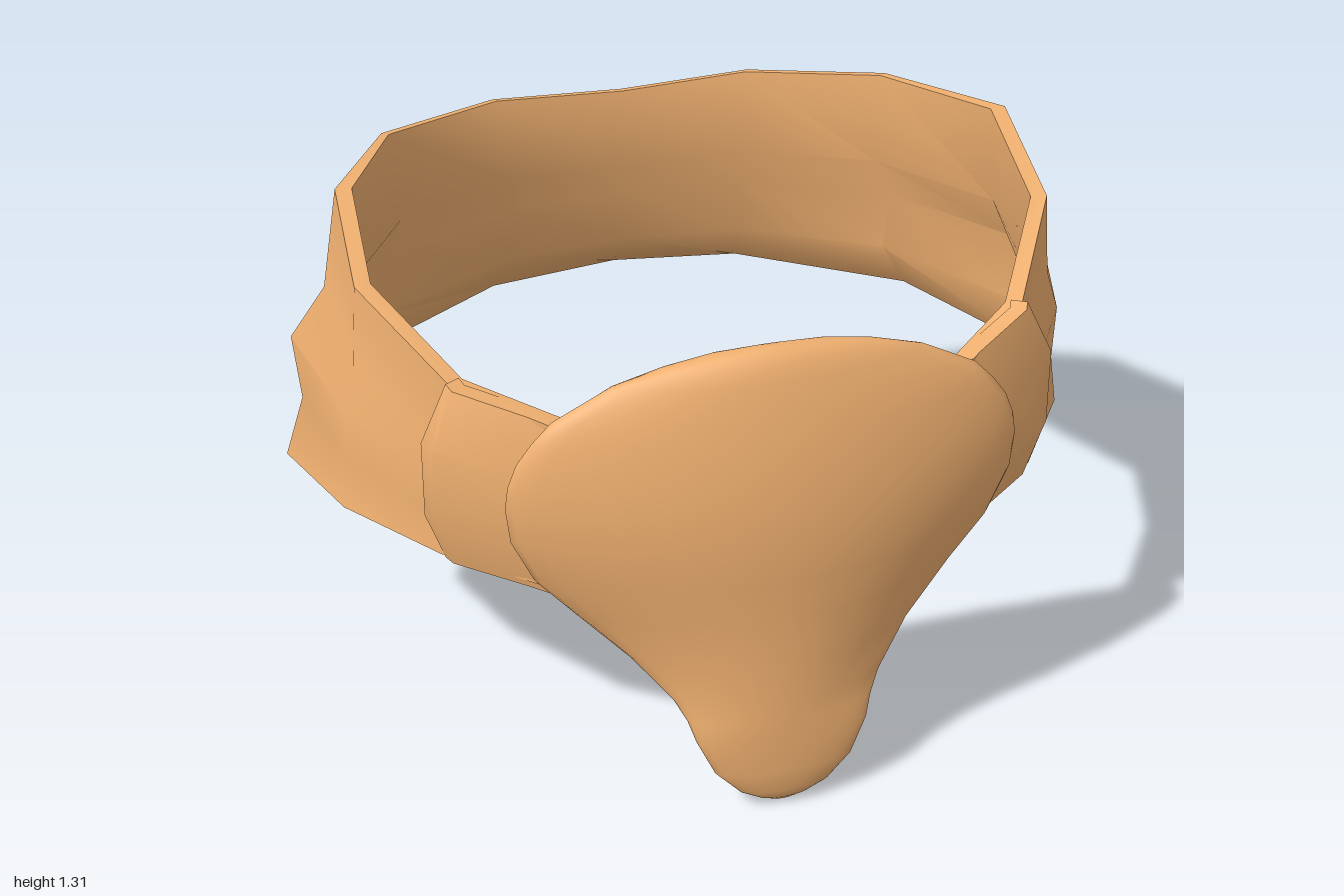
import * as THREE from 'three';
import { toCreasedNormals } from 'three/addons/utils/BufferGeometryUtils.js';

const material = new THREE.MeshStandardMaterial({ color: 0xf0b070, side: THREE.DoubleSide });

// Skins a list of closed cross-sections and caps both ends.
function loft(rings, crease) {
  const n = rings[0].length, last = rings.length - 1;
  const points = rings.flat(), index = [];
  for (let i = 0; i < last; i++) {
    for (let j = 0; j < n; j++) {
      const k = (j + 1) % n;
      const a = i * n + j, b = i * n + k, c = b + n, d = a + n;
      index.push(a, d, b, b, d, c);
    }
  }
  for (const i of [0, last]) {
    const centre = rings[i].reduce((s, p) => s.add(p), new THREE.Vector3()).divideScalar(n);
    const m = points.push(centre) - 1;
    for (let j = 0; j < n; j++) {
      const a = i * n + j, b = i * n + (j + 1) % n;
      index.push(m, ...(i === 0 ? [a, b] : [b, a]));
    }
  }
  const geometry = new THREE.BufferGeometry().setFromPoints(points);
  geometry.setIndex(index);
  geometry.computeVertexNormals();
  return crease ? toCreasedNormals(geometry, crease) : geometry;
}

// Upright strap section: outer face downwards, then inner face upwards.
// flare and height run 0..1 between the top and bottom edges.
function strapRing([bx, bz, tx, tz, yTop, yBottom], flare, height, thick) {
  const outer = flare.map((f, i) => new THREE.Vector3(
    THREE.MathUtils.lerp(tx, bx, f),
    THREE.MathUtils.lerp(yBottom, yTop, height[i]),
    THREE.MathUtils.lerp(tz, bz, f)));
  const inner = outer.map((p, i) => {
    const scale = 1 - thick[i] / Math.hypot(p.x, p.z);
    return new THREE.Vector3(p.x * scale, p.y, p.z * scale);
  });
  return [...outer, ...inner.reverse()];
}

const mirrorRing = (ring) => ring.map((p) => new THREE.Vector3(-p.x, p.y, p.z));

// Flared band running round the back from one side of the plate to the other.
function bandGeometry() {
  const height = [1, 0.64, 0.46, 0.22, 0];
  // bottom x, z; top x, z; top y, bottom y; flare of the ridge; thickness at top, middle, bottom
  const stations = [
    [0, -0.81, 0, -0.68, 1.22, 0.67, 0.58, 0.015, 0.075, 0.03],
    [0.35, -0.79, 0.34, -0.675, 1.235, 0.65, 0.58, 0.015, 0.075, 0.03],
    [0.78, -0.57, 0.66, -0.5, 1.26, 0.61, 0.68, 0.02, 0.07, 0.03],
    [1.0, -0.14, 0.84, -0.12, 1.31, 0.6, 0.8, 0.04, 0.06, 0.04],
    [0.91, 0.15, 0.85, 0.15, 1.19, 0.605, 0.8, 0.04, 0.05, 0.04],
    [0.73, 0.42, 0.69, 0.41, 1.05, 0.61, 0.8, 0.04, 0.05, 0.04],
    [0.42, 0.645, 0.41, 0.64, 0.98, 0.565, 0.8, 0.05, 0.055, 0.05],
  ];
  const left = stations.map(([bx, bz, tx, tz, yt, yb, ridge, top, mid, bottom]) => strapRing(
    [bx, bz, tx, tz, yt, yb], [0, ridge * 0.32, ridge, ridge - 0.1, 1], height,
    [top, mid, mid, mid, bottom]));
  const right = left.slice(1).reverse().map(mirrorRing);
  return loft([...right, ...left], 0.9);
}

// Short tabs that overlap the band ends and run into the back of the plate.
function tabRings() {
  const flare = [0, 1, 1, 0.3], height = [1, 0.7, 0.28, 0];
  const thick = [0.04, 0.04, 0.04, 0.04];
  // bottom x, z; top x, z; top y, bottom y
  const stations = [
    [0.765, 0.43, 0.7, 0.42, 1.06, 0.6],
    [0.745, 0.455, 0.69, 0.44, 1.05, 0.595],
    [0.6, 0.545, 0.53, 0.54, 1.01, 0.565],
    [0.45, 0.63, 0.42, 0.62, 0.985, 0.54],
    [0.39, 0.665, 0.37, 0.665, 0.97, 0.56],
  ];
  return stations.map((s) => strapRing(s, flare, height, thick));
}

// Curved, hollow-backed front plate narrowing to a rounded tip.
function plateGeometry() {
  // y, half width, front z at the middle, z at the rim
  const rows = [
    [1.163, 0.04, 0.64, 0.625], [1.155, 0.14, 0.655, 0.62], [1.135, 0.25, 0.672, 0.613],
    [1.1, 0.37, 0.69, 0.606], [1.03, 0.5, 0.712, 0.6], [0.98, 0.547, 0.727, 0.598],
    [0.93, 0.583, 0.74, 0.596], [0.875, 0.604, 0.752, 0.596], [0.82, 0.612, 0.762, 0.597],
    [0.73, 0.602, 0.775, 0.599], [0.62, 0.55, 0.778, 0.604], [0.52, 0.46, 0.777, 0.615],
    [0.4, 0.34, 0.784, 0.655], [0.3, 0.253, 0.792, 0.71], [0.25, 0.226, 0.797, 0.735],
    [0.2, 0.21, 0.8, 0.755], [0.11, 0.168, 0.805, 0.767], [0.05, 0.11, 0.802, 0.77],
    [0.02, 0.06, 0.788, 0.768], [0.003, 0.015, 0.772, 0.766],
  ];
  const segments = 28;
  const rings = rows.map(([y, w, front, rim]) => {
    const thick = Math.min(0.045, 0.012 + w * 0.3);
    return Array.from({ length: segments }, (_, j) => {
      const angle = (j / segments) * Math.PI * 2;
      const u = -Math.cos(angle), s = Math.sin(angle);
      const middle = rim + (front - thick / 2 - rim) * (1 - u * u);
      const offset = Math.sign(s) * Math.sqrt(Math.abs(s)) * thick / 2;
      return new THREE.Vector3(u * w, y, middle + offset);
    });
  });
  return loft(rings);
}

export function createModel() {
  const model = new THREE.Group();
  model.name = 'plateBelt';
  const add = (name, geometry) => {
    const mesh = new THREE.Mesh(geometry, material);
    mesh.name = name;
    model.add(mesh);
  };
  const tab = tabRings();
  add('band', bandGeometry());
  add('leftTab', loft(tab, 0.5));
  add('rightTab', loft(tab.map(mirrorRing).reverse(), 0.5));
  add('frontPlate', plateGeometry());
  return model;
}
